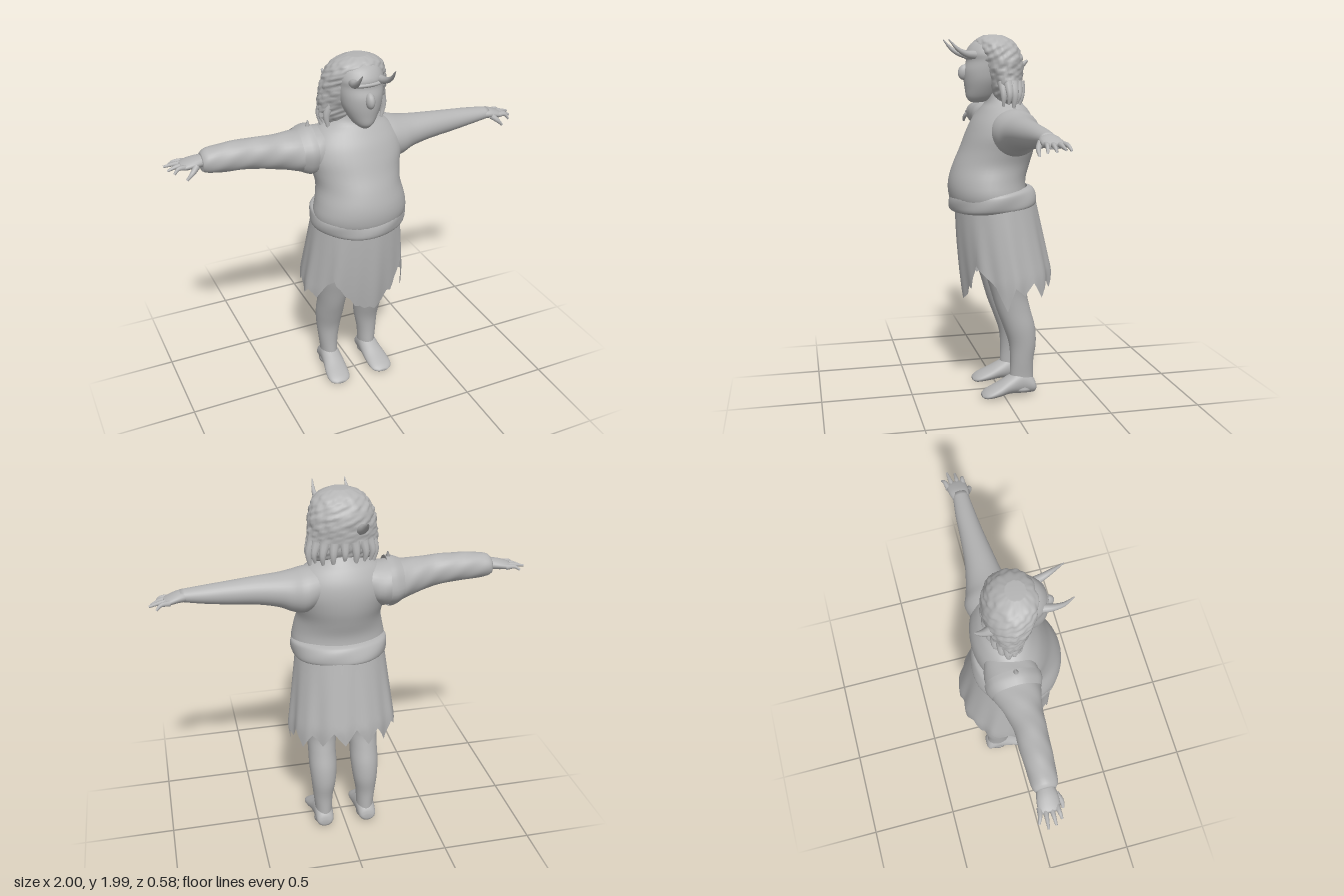
import * as THREE from 'three';

const clay = new THREE.MeshStandardMaterial({ color: 0xb4b4b4, side: THREE.DoubleSide });
clay.name = 'clay grey';
const { sin, cos, PI, abs, max } = Math;

function mesh(name, geometry) {
  const m = new THREE.Mesh(geometry, clay);
  m.name = name;
  return m;
}

// Grid of points joined into quads, optionally closed around and capped at both ends
function surface(rows, closed, capped) {
  const n = rows[0].length, pos = rows.flat(2), idx = [];
  for (let i = 0; i < rows.length - 1; i++) {
    for (let j = 0; j < (closed ? n : n - 1); j++) {
      const a = i * n + j, b = i * n + (j + 1) % n;
      idx.push(a, a + n, b, b, a + n, b + n);
    }
  }
  if (capped) {
    [0, rows.length - 1].forEach((r, end) => {
      const c = pos.length / 3, mid = [0, 1, 2].map(k => rows[r].reduce((s, p) => s + p[k], 0) / n);
      pos.push(...mid);
      for (let j = 0; j < n; j++) {
        const a = r * n + j, b = r * n + (j + 1) % n;
        if (end) idx.push(c, b, a); else idx.push(c, a, b);
      }
    });
  }
  // Turn the faces outward when the enclosed volume comes out negative
  const P = i => new THREE.Vector3(pos[3 * i], pos[3 * i + 1], pos[3 * i + 2]);
  let volume = 0;
  for (let i = 0; i < idx.length; i += 3) volume += P(idx[i]).dot(P(idx[i + 1]).cross(P(idx[i + 2])));
  if (volume < 0) idx.reverse();
  const g = new THREE.BufferGeometry();
  g.setAttribute('position', new THREE.Float32BufferAttribute(pos, 3));
  g.setIndex(idx);
  g.computeVertexNormals();
  return g;
}

// Smooth interpolation through rows of numbers
function spline(rows, sub) {
  const out = [], at = i => rows[Math.min(rows.length - 1, max(0, i))];
  for (let i = 0; i < rows.length - 1; i++) {
    for (let s = 0; s < sub; s++) {
      const t = s / sub;
      out.push(rows[0].map((_, k) => {
        const [a, b, c, d] = [at(i - 1)[k], at(i)[k], at(i + 1)[k], at(i + 2)[k]];
        return b + 0.5 * t * (c - a + t * (2 * a - 5 * b + 4 * c - d + t * (3 * (b - c) + d - a)));
      }));
    }
  }
  out.push(rows[rows.length - 1]);
  return out;
}

// Oval sections along an axis, each row: [position, minA, maxA, minB, maxB]
const place = { y: (t, a, b) => [a, t, b], x: (t, a, b) => [t, a, b], z: (t, a, b) => [a, b, t] };
function loft(axis, rows, { seg = 32, sub = 4, bump = () => 0, capped = true } = {}) {
  return surface(spline(rows, sub).map(([t, a0, a1, b0, b1]) =>
    Array.from({ length: seg }, (_, j) => {
      const u = j / seg * 2 * PI, k = 1 + bump(u, t);
      return place[axis](t, (a0 + a1) / 2 + (a1 - a0) / 2 * cos(u) * k, (b0 + b1) / 2 + (b1 - b0) / 2 * sin(u) * k);
    })), true, capped);
}

// Curved tube narrowing from r0 to r1
function taper(name, points, r0, r1) {
  const curve = new THREE.CatmullRomCurve3(points.map(p => new THREE.Vector3(...p)));
  const n = 8, radial = 10, g = new THREE.TubeGeometry(curve, n, r0, radial);
  const p = g.attributes.position, v = new THREE.Vector3();
  for (let i = 0; i < p.count; i++) {
    const t = Math.floor(i / (radial + 1)) / n, c = curve.getPointAt(t);
    v.fromBufferAttribute(p, i).sub(c).multiplyScalar(1 + (r1 / r0 - 1) * t).add(c);
    p.setXYZ(i, v.x, v.y, v.z);
  }
  return mesh(name, g);
}

// Skirt outline at a height: half width, depth centre and half depth
function skirtAt(y) {
  const t = (1.1 - y) / 0.5;
  const front = 0.235 - 0.035 * t * t, back = -0.2 - 0.085 * Math.min(1, t * 1.3);
  return [0.245 + 0.05 * Math.min(1.1, t * 1.3), (front + back) / 2, (front - back) / 2];
}
function cloth(angleAt, hemAt, top, offset, cols, closed) {
  const rows = [];
  for (let i = 0; i <= 14; i++) {
    const v = i / 14;
    rows.push(Array.from({ length: cols }, (_, j) => {
      const s = j / (closed ? cols : cols - 1), a = angleAt(s, v);
      const y = top + (hemAt(s) - top) * v, [rx, cz, rz] = skirtAt(y);
      const k = 1 + offset + 0.022 * v * sin(a * 9 + 1) + 0.012 * v * sin(a * 17);
      return [rx * sin(a) * k, y, cz + rz * cos(a) * k];
    }));
  }
  return surface(rows, closed, false);
}
// Torn hem heights, read evenly along the edge
const tornHem = heights => s => {
  const f = s * (heights.length - 1), i = Math.min(heights.length - 2, Math.floor(f));
  return heights[i] + (heights[i + 1] - heights[i]) * (f - i);
};

function hand(side, wrist) {
  const g = new THREE.Group();
  g.name = side > 0 ? 'leftHand' : 'rightHand';
  const [y, drop] = wrist, X = x => side * x;
  g.add(mesh('palm', loft('x', [
    [X(0.8), y - 0.03, y + 0.03, -0.08, 0], [X(0.85), y - 0.03, y + 0.026, -0.095, 0.01],
    [X(0.9), y - 0.026 - drop / 3, y + 0.018 - drop / 3, -0.1, 0.008], [X(0.925), y - 0.02 - drop / 2, y + 0.01 - drop / 2, -0.09, 0]
  ], { seg: 20 })));
  [[-0.09, 0.965, -0.112], [-0.065, 1, -0.075], [-0.038, 0.99, -0.035], [-0.01, 0.965, 0]].forEach(([z, tip, tz], i) =>
    g.add(taper('finger', [[X(0.895), y - 0.005 - drop / 3, z], [X(0.94), y - drop * 0.55, (z + tz) / 2],
      [X(tip), y - drop - 0.008 * abs(i - 1), tz]], 0.016, 0.006)));
  g.add(taper('thumb', [[X(0.85), y - 0.01, 0], [X(0.88), y - 0.035, 0.02], [X(0.91), y - 0.065, 0.022]], 0.018, 0.007));
  return g;
}

function leg(side) {
  const g = new THREE.Group();
  g.name = side > 0 ? 'leftLeg' : 'rightLeg';
  const flip = rows => rows.map(([t, a, b, c, d]) => side > 0 ? [t, a, b, c, d] : [t, -b, -a, c, d]);
  g.add(mesh('shin', loft('y', flip([
    [0.03, 0.075, 0.18, -0.17, -0.04], [0.1, 0.075, 0.172, -0.168, -0.035], [0.2, 0.07, 0.182, -0.168, -0.038],
    [0.3, 0.053, 0.192, -0.182, -0.03], [0.4, 0.043, 0.2, -0.175, 0.003], [0.5, 0.042, 0.2, -0.148, 0.04],
    [0.6, 0.03, 0.205, -0.13, 0.07], [0.75, 0.015, 0.22, -0.15, 0.11], [0.98, 0.01, 0.2, -0.15, 0.14]
  ]))));
  g.add(mesh('foot', loft('z', flip([
    [-0.182, 0.1, 0.155, 0.03, 0.06], [-0.165, 0.078, 0.175, 0.012, 0.1], [-0.1, 0.07, 0.18, 0.008, 0.15],
    [-0.03, 0.066, 0.188, 0.012, 0.115], [0.03, 0.066, 0.2, 0.004, 0.08], [0.08, 0.07, 0.203, 0, 0.055],
    [0.11, 0.082, 0.192, 0, 0.038], [0.128, 0.11, 0.165, 0.008, 0.022]
  ]))));
  return g;
}

function head() {
  const g = new THREE.Group();
  g.name = 'head';
  g.add(mesh('face', loft('y', [
    [1.63, -0.025, 0.025, 0.09, 0.155], [1.655, -0.055, 0.055, 0.03, 0.178], [1.7, -0.083, 0.083, 0, 0.186],
    [1.75, -0.105, 0.105, -0.03, 0.192], [1.8, -0.115, 0.115, -0.05, 0.192], [1.85, -0.12, 0.12, -0.06, 0.178],
    [1.89, -0.12, 0.12, -0.06, 0.182], [1.94, -0.1, 0.1, -0.05, 0.15], [1.965, -0.05, 0.05, 0, 0.1]
  ])));
  const nose = mesh('nose', new THREE.SphereGeometry(1, 16, 12));
  nose.scale.set(0.024, 0.042, 0.034);
  nose.position.set(0, 1.79, 0.19);
  nose.rotation.x = -0.25;
  g.add(nose);
  const brow = mesh('brow', new THREE.SphereGeometry(1, 20, 12));
  brow.scale.set(0.085, 0.016, 0.03);
  brow.position.set(0, 1.868, 0.158);
  g.add(brow);
  // Curly hair with lumps
  g.add(mesh('hair', loft('y', [
    [1.625, -0.15, 0.14, -0.07, 0.02], [1.65, -0.18, 0.165, -0.095, 0.04], [1.7, -0.19, 0.178, -0.115, 0.065],
    [1.78, -0.188, 0.175, -0.125, 0.1], [1.86, -0.178, 0.17, -0.125, 0.125], [1.92, -0.155, 0.148, -0.1, 0.14],
    [1.96, -0.115, 0.11, -0.065, 0.125], [1.985, -0.05, 0.05, -0.015, 0.08]
  ], { seg: 72, sub: 7, bump: (u, t) => 0.035 * sin(u * 7 + 3 * sin(t * 37)) * cos(t * 62 + 2 * sin(u * 3))
    + 0.025 * sin(u * 15 + t * 90) * sin(t * 120 - u * 4) })));
  for (let i = 0; i < 13; i++) {
    const a = 0.3 + PI + (i / 12 - 0.5) * 4.1 - 0.3, x = sin(a), z = cos(a);
    g.add(taper('hairLock', [[x * 0.155, 1.74, -0.025 + z * 0.08], [x * 0.18, 1.67, -0.03 + z * 0.085],
      [x * 0.17, 1.61 + 0.02 * sin(i * 2.4), -0.025 + z * 0.075]], 0.03, 0.006));
  }
  g.add(taper('backTuft', [[-0.08, 1.8, -0.09], [-0.095, 1.82, -0.145], [-0.1, 1.85, -0.185]], 0.035, 0.006));
  for (const s of [-1, 1]) {
    g.add(taper('horn', [[s * 0.07, 1.88, 0.14], [s * 0.082, 1.885, 0.19], [s * 0.09, 1.91, 0.24], [s * 0.088, 1.96, 0.287]], 0.024, 0.003));
  }
  return g;
}

export function createModel() {
  const model = new THREE.Group();
  model.name = 'hornedFigure';
  // Bare torso with a heavy belly
  model.add(mesh('torso', loft('y', [
    [1.02, -0.22, 0.22, -0.17, 0.2], [1.09, -0.25, 0.25, -0.165, 0.262], [1.15, -0.258, 0.258, -0.145, 0.28],
    [1.22, -0.245, 0.245, -0.142, 0.277], [1.3, -0.23, 0.23, -0.165, 0.252], [1.38, -0.245, 0.245, -0.187, 0.215],
    [1.46, -0.265, 0.265, -0.194, 0.182], [1.53, -0.25, 0.25, -0.183, 0.148], [1.59, -0.2, 0.2, -0.153, 0.105],
    [1.63, -0.13, 0.13, -0.12, 0.075], [1.68, -0.09, 0.09, -0.09, 0.07], [1.76, -0.085, 0.085, -0.08, 0.08]
  ], { seg: 40 })));
  // Rolled waistband, higher at the back
  const belt = loft('y', [
    [1.055, -0.235, 0.235, -0.185, 0.23], [1.07, -0.258, 0.258, -0.205, 0.268], [1.11, -0.266, 0.266, -0.2, 0.277],
    [1.15, -0.262, 0.262, -0.18, 0.272], [1.165, -0.24, 0.24, -0.15, 0.255]
  ], { seg: 48, bump: (u, t) => 0.012 * sin(u * 5 + t * 40), capped: false });
  const bp = belt.attributes.position;
  for (let i = 0; i < bp.count; i++) bp.setY(i, bp.getY(i) - 0.09 * bp.getZ(i));
  belt.computeVertexNormals();
  model.add(mesh('waistband', belt));
  // Ragged skirt and the front apron over it
  const hem = tornHem([0.66, 0.7, 0.75, 0.77, 0.72, 0.66, 0.53, 0.66, 0.61, 0.68, 0.59, 0.68, 0.62, 0.71, 0.63, 0.72,
    0.62, 0.7, 0.6, 0.69, 0.63, 0.68, 0.6, 0.66, 0.62, 0.72, 0.77, 0.74, 0.7, 0.66]);
  model.add(mesh('skirt', cloth(s => s * 2 * PI, hem, 1.1, 0, 116, true)));
  const apronHem = tornHem([0.8, 0.74, 0.71, 0.66, 0.64, 0.59, 0.585, 0.56, 0.57, 0.55, 0.57, 0.59, 0.64, 0.63, 0.7, 0.74, 0.8]);
  model.add(mesh('apron', cloth((s, v) => (s - 0.5) * (1.85 - 0.35 * v), apronHem, 1.09, 0.035, 49, false)));
  // Bare left arm
  model.add(mesh('leftArm', loft('x', [
    [0.1, 1.42, 1.6, -0.15, 0.08], [0.2, 1.36, 1.6, -0.175, 0.09], [0.27, 1.365, 1.585, -0.155, 0.08],
    [0.34, 1.395, 1.575, -0.135, 0.06], [0.45, 1.418, 1.567, -0.115, 0.042], [0.6, 1.434, 1.555, -0.102, 0.022],
    [0.72, 1.45, 1.545, -0.095, 0.01], [0.84, 1.47, 1.532, -0.08, 0]
  ])));
  // Sleeved right arm with wrinkles and a torn shoulder edge
  model.add(mesh('rightSleeve', loft('x', [
    [-0.82, 1.475, 1.565, -0.088, 0.012], [-0.79, 1.462, 1.588, -0.102, 0.028], [-0.7, 1.452, 1.6, -0.105, 0.038],
    [-0.6, 1.447, 1.603, -0.11, 0.045], [-0.5, 1.43, 1.6, -0.108, 0.052], [-0.4, 1.405, 1.595, -0.13, 0.062],
    [-0.3, 1.375, 1.597, -0.165, 0.085], [-0.2, 1.36, 1.6, -0.178, 0.095], [-0.1, 1.42, 1.6, -0.15, 0.08]
  ], { bump: (u, t) => 0.025 * sin(t * 45 + u * 2) * cos(u * 3) })));
  model.add(mesh('shoulderEdge', loft('x', [
    [-0.31, 1.375, 1.6, -0.165, 0.085], [-0.27, 1.355, 1.615, -0.182, 0.1], [-0.235, 1.355, 1.618, -0.185, 0.1]
  ], { capped: false, bump: (u, t) => 0.02 * sin(u * 6) })));
  model.add(taper('tornTip', [[-0.26, 1.58, -0.03], [-0.25, 1.615, -0.03], [-0.247, 1.645, -0.035]], 0.025, 0.003));
  model.add(hand(1, [1.5, 0.03]), hand(-1, [1.53, 0.015]));
  model.add(leg(1), leg(-1), head());
  return model;
}
